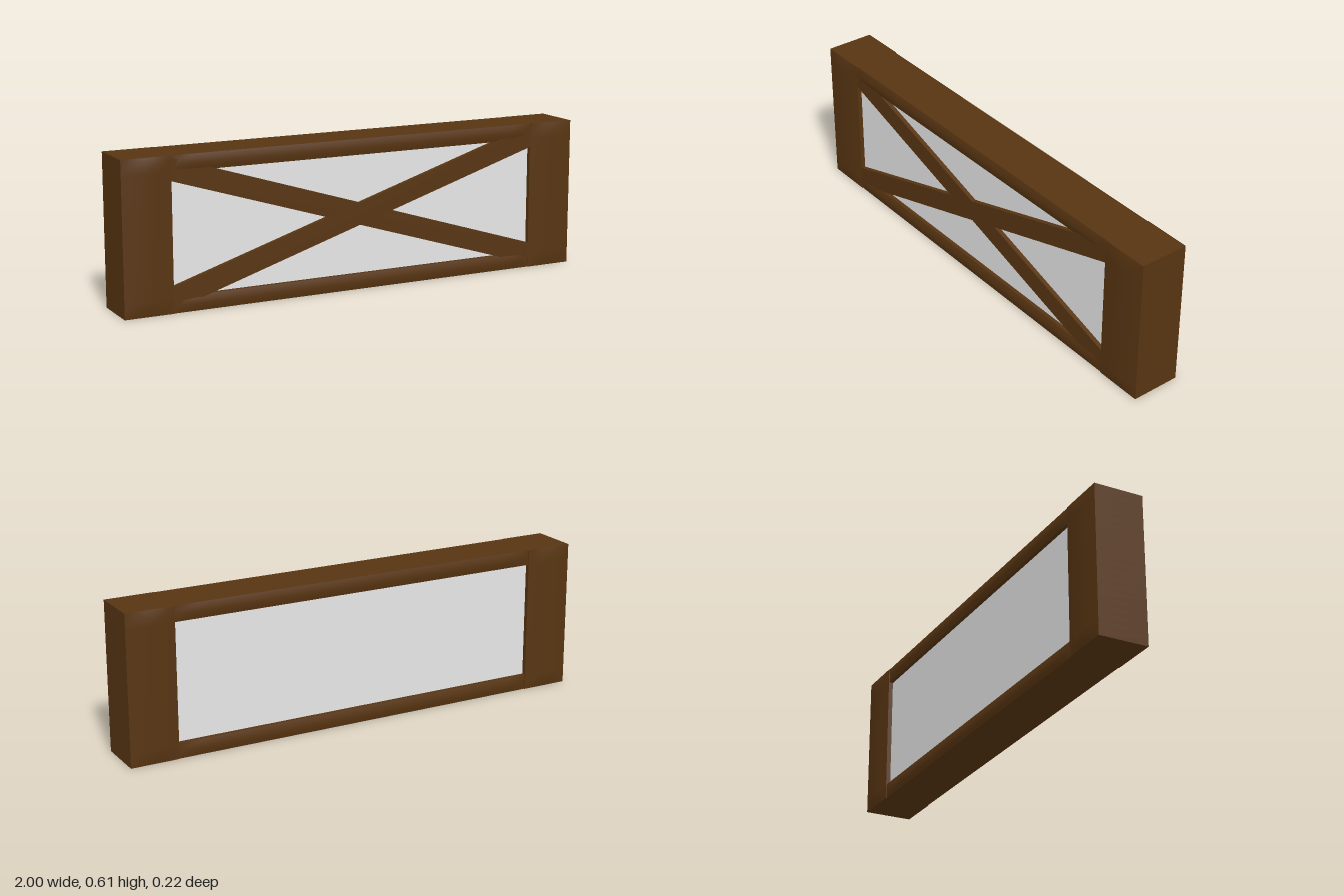
import * as THREE from 'three';

const HEIGHT = 0.613;

// Box whose front and back faces swell outward, easing to the edges over rx and ry
function swollenBox(w, h, edgeZ, bulge, rx, ry, sx, sy) {
  const geo = new THREE.BoxGeometry(w, h, 2, sx, sy, 1);
  const p = geo.attributes.position;
  const ease = (d, r) => Math.sin(Math.min(1, Math.max(0, d) / r) * Math.PI / 2);
  for (let i = 0; i < p.count; i++) {
    const fx = ease(w / 2 - Math.abs(p.getX(i)), rx);
    const fy = ease(h / 2 - Math.abs(p.getY(i)), ry);
    p.setZ(i, Math.sign(p.getZ(i)) * (edgeZ + bulge * fx * fy));
  }
  geo.computeVertexNormals();
  return geo;
}

export function createModel() {
  const group = new THREE.Group();
  const wood = new THREE.MeshStandardMaterial({ color: 0x583512 });
  wood.name = 'darkWood';
  const pale = new THREE.MeshStandardMaterial({ color: 0xe7e7e7 });
  pale.name = 'palePanel';

  const add = (name, geo, mat, x, y, z) => {
    const mesh = new THREE.Mesh(geo, mat);
    mesh.name = name;
    mesh.position.set(x, y, z);
    group.add(mesh);
  };

  // Wide end posts
  const post = swollenBox(0.2, HEIGHT, 0.102, 0.008, 0.1, 0.03, 8, 20);
  add('leftPost', post, wood, 0.9, HEIGHT / 2, 0);
  add('rightPost', post, wood, -0.9, HEIGHT / 2, 0);

  // Top and bottom rails
  const railH = 0.064;
  const rail = swollenBox(1.6, railH, 0.099, 0.006, 0.08, 0.03, 40, 4);
  add('topRail', rail, wood, 0, HEIGHT - railH / 2, 0);
  add('bottomRail', rail, wood, 0, railH / 2, 0);

  // Recessed infill panel
  add('panel', new THREE.BoxGeometry(1.6, 0.5, 0.166), pale, 0, HEIGHT / 2, 0);

  // Crossed braces on the front, cut upright where they meet the posts
  const rise = 0.25, half = 0.045;
  [1, -1].forEach((s, i) => {
    const shape = new THREE.Shape([
      new THREE.Vector2(-0.8, -s * rise - half),
      new THREE.Vector2(0.8, s * rise - half),
      new THREE.Vector2(0.8, s * rise + half),
      new THREE.Vector2(-0.8, -s * rise + half),
    ]);
    const geo = new THREE.ExtrudeGeometry(shape, { depth: 0.032 - i * 0.001, bevelEnabled: false });
    add(i ? 'fallingBrace' : 'risingBrace', geo, wood, 0, 0.31, 0.07);
  });

  return group;
}
